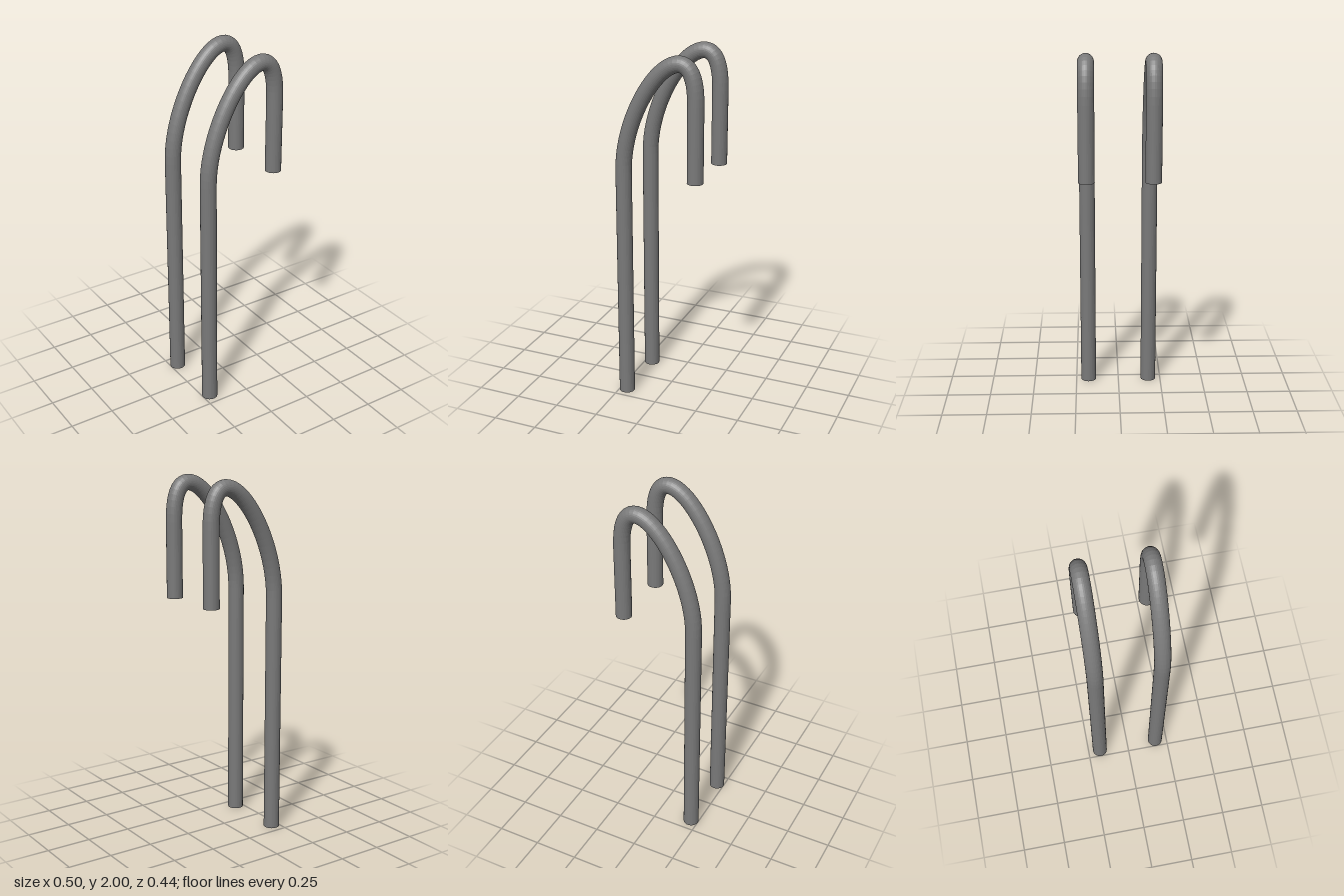
import * as THREE from 'three';

const RADIUS = 0.044, LEG_X = 0.207, TIP_Y = 1.33, SIDES = 32;
const v = (x, y) => new THREE.Vector3(x, y, 0);

// Centre line: tall straight leg, lopsided arch, short drop
function hookPoints() {
  const rise = new THREE.CubicBezierCurve3(v(-LEG_X, 1.345), v(-LEG_X, 1.63), v(-0.012, 1.956), v(0.117, 1.956));
  const fall = new THREE.CubicBezierCurve3(v(0.117, 1.956), v(0.17, 1.956), v(LEG_X, 1.9), v(LEG_X, 1.75));
  return [v(-LEG_X, 0), ...rise.getPoints(20), ...fall.getPoints(10).slice(1), v(LEG_X, TIP_Y)];
}

// Straight segments joined end to end, so the rings sit exactly on the points
function hookPath() {
  const points = hookPoints();
  const path = new THREE.Curve();
  path.segments = points.length - 1;
  path.getPointAt = (t, target = new THREE.Vector3()) => target.copy(points[Math.round(t * path.segments)]);
  // Averaged direction at each bend
  path.getTangentAt = (t, target = new THREE.Vector3()) => {
    const i = Math.round(t * path.segments);
    const dir = (a) => points[a + 1].clone().sub(points[a]).normalize();
    if (i <= 1) return target.set(0, 1, 0);
    if (i >= path.segments - 1) return target.set(0, -1, 0);
    return target.copy(dir(i - 1)).add(dir(i)).normalize();
  };
  return path;
}

export function createModel() {
  const model = new THREE.Group();
  const material = new THREE.MeshStandardMaterial({ color: 0x797979, flatShading: true, side: THREE.DoubleSide });
  const path = hookPath();
  const pipe = new THREE.TubeGeometry(path, path.segments, RADIUS, SIDES, false);

  // Two matching bent pipes with open ends, front and back
  for (const [name, z] of [['frontRail', 0.178], ['backRail', -0.178]]) {
    const rail = new THREE.Mesh(pipe, material);
    rail.name = name;
    rail.position.z = z;
    model.add(rail);
  }
  return model;
}
